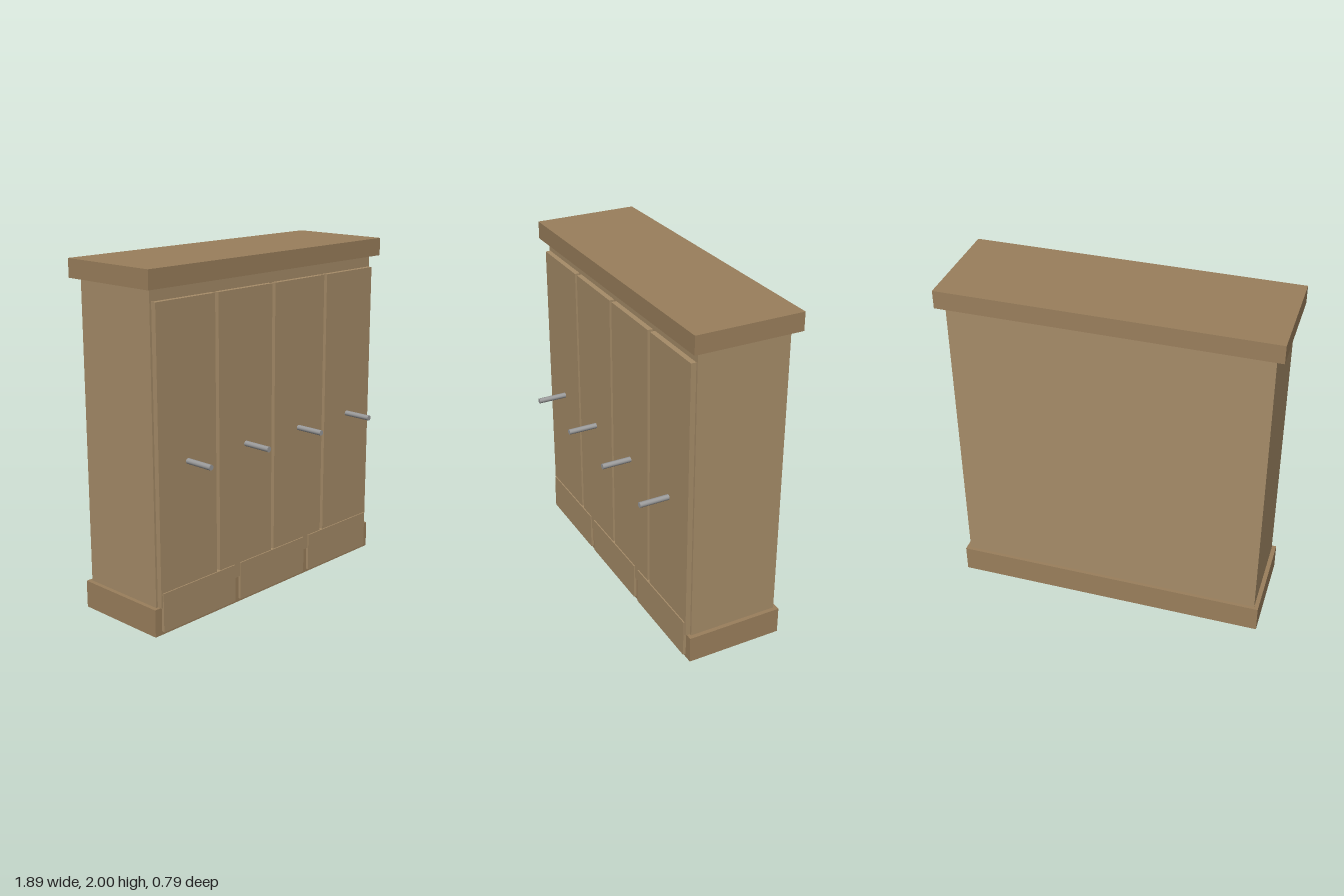
import * as THREE from 'three';

export function createModel() {
  const model = new THREE.Group();
  const panelWood = new THREE.MeshStandardMaterial({ color: 0xa68c68 });
  const trimWood = new THREE.MeshStandardMaterial({ color: 0x9a7f5c });
  const metal = new THREE.MeshStandardMaterial({ color: 0x999999 });

  // Box given by its centre x, width, and y and z ranges
  function box(name, material, x, width, y0, y1, z0, z1) {
    const mesh = new THREE.Mesh(new THREE.BoxGeometry(width, y1 - y0, z1 - z0), material);
    mesh.position.set(x, (y0 + y1) / 2, (z0 + z1) / 2);
    mesh.name = name;
    model.add(mesh);
  }

  // Carcass with overhanging plinth and cornice
  box('body', panelWood, 0, 1.8, 0.1, 1.92, -0.35, 0.19);
  box('plinth', trimWood, 0, 1.85, 0, 0.16, -0.37, 0.21);
  box('cornice', trimWood, 0, 1.89, 1.895, 2, -0.395, 0.235);

  // Four tall doors, each with a round bar handle
  const handleShape = new THREE.CylinderGeometry(0.016, 0.016, 0.18, 12).rotateX(Math.PI / 2);
  for (let i = 0; i < 4; i++) {
    const x = (i - 1.5) * 0.45;
    box('door' + (i + 1), panelWood, x, 0.425, 0.16, 1.827, 0.185, 0.22);
    const handle = new THREE.Mesh(handleShape, metal);
    handle.position.set(x, 0.948, 0.305);
    handle.name = 'handle' + (i + 1);
    model.add(handle);
  }

  // Three drawer fronts along the bottom
  for (let i = 0; i < 3; i++) {
    box('drawer' + (i + 1), panelWood, (i - 1) * 0.6, 0.555, 0.02, 0.245, 0.19, 0.227);
  }

  return model;
}
